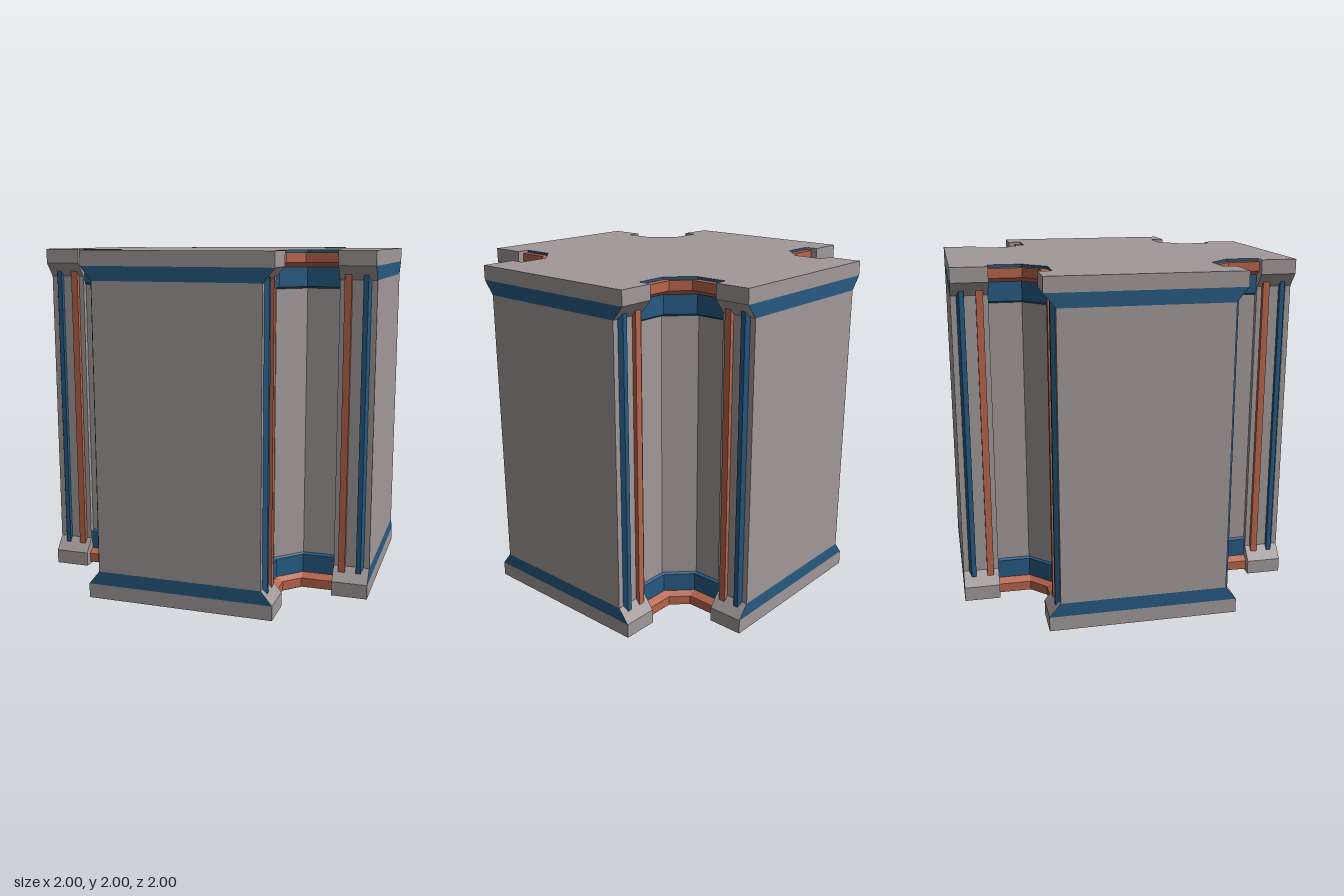
import * as THREE from 'three';

const mat = (name, color) => {
  const m = new THREE.MeshStandardMaterial({ color, side: THREE.DoubleSide, flatShading: true });
  m.name = name;
  return m;
};

// Mesh from flat quads; each entry is [outward hint, a, b, c, d]
function faces(name, material, quads) {
  const pos = [];
  for (const [hint, ...p] of quads) {
    let v = p.map(q => new THREE.Vector3(...q));
    const n = v[1].clone().sub(v[0]).cross(v[2].clone().sub(v[0]));
    if (n.dot(new THREE.Vector3(...hint)) < 0) v = v.reverse();
    for (const i of [0, 1, 2, 0, 2, 3]) pos.push(...v[i].toArray());
  }
  const g = new THREE.BufferGeometry();
  g.setAttribute('position', new THREE.Float32BufferAttribute(pos, 3));
  g.computeVertexNormals();
  const mesh = new THREE.Mesh(g, material);
  mesh.name = name;
  return mesh;
}

const IN = 0.79, WIDE = 0.55, BODY = 0.485, WALL = 0.455, RIM = 0.47, PROUD = 0.51;
const SLAB = 0.085, NECK = 0.165;
const slopeY = x => NECK - (x - BODY) * (NECK - SLAB) / (WIDE - BODY);

// Horizontal line round an inner corner at a given offset from the axes
const notch = r => [[IN, r], [0.6, r], [r, 0.6], [r, IN]];

// Vertical profile of [offset, y] points swept round the notch
function sweep(name, material, profile) {
  const quads = [];
  for (let i = 0; i < profile.length - 1; i++) {
    const [[r0, y0], [r1, y1]] = [profile[i], profile[i + 1]];
    const p = notch(r0), q = notch(r1);
    for (let k = 0; k < 3; k++) {
      const flat = y0 === y1;
      quads.push([flat ? [0, y0 > 1 ? 1 : -1, 0] : [1, 0, 1],
        [p[k][0], y0, p[k][1]], [p[k + 1][0], y0, p[k + 1][1]],
        [q[k + 1][0], y1, q[k + 1][1]], [q[k][0], y1, q[k][1]]]);
    }
  }
  return faces(name, material, quads);
}

// Upright strip standing proud of an arm side, ends cut to the flare
function strip(name, material, s, section) {
  const at = ([x, z], top) => [s * x, top ? 2 - slopeY(x) : slopeY(x), z];
  const quads = [];
  const mid = (section[0][1] + section[3][1]) / 2;
  for (let i = 0; i < 3; i++) {
    const a = section[i], b = section[i + 1];
    const hint = i === 1 ? [s, 0, 0] : [0, 0, Math.sign((a[1] + b[1]) / 2 - mid)];
    quads.push([hint, at(a, 0), at(b, 0), at(b, 1), at(a, 1)]);
  }
  return faces(name, material, quads);
}

function arm(grey, blue, orange) {
  const g = new THREE.Group();
  g.name = 'arm';
  const F = [0, 0, 1];
  const band = (x0, y0, x1, y1) =>
    [F, [-x0, y0, 1], [x0, y0, 1], [x1, y1, 1], [-x1, y1, 1]];
  // outer face
  g.add(faces('outerPanel', grey, [
    band(WIDE, 0, WIDE, SLAB), band(BODY, NECK, BODY, 2 - NECK), band(WIDE, 2 - SLAB, WIDE, 2)]));
  g.add(faces('outerPanelBands', blue, [
    band(WIDE, SLAB, BODY, NECK), band(BODY, 2 - NECK, WIDE, 2 - SLAB)]));

  for (const s of [1, -1]) {
    // sides, left open behind the strips
    const side = (x0, y0, x1, y1, z0 = IN, z1 = 1) =>
      [[s, 0, 0], [s * x0, y0, z0], [s * x0, y0, z1], [s * x1, y1, z1], [s * x1, y1, z0]];
    const end = (x0, y0, x1, y1) =>
      [[0, 0, -1], [s * WALL, y0, IN], [s * x0, y0, IN], [s * x1, y1, IN], [s * WALL, y1, IN]];
    const outline = [[WIDE, 0], [WIDE, SLAB], [BODY, NECK],
      [BODY, 2 - NECK], [WIDE, 2 - SLAB], [WIDE, 2]];
    const quads = [];
    for (let i = 0; i < 5; i++) {
      const [a, b] = [outline[i], outline[i + 1]];
      quads.push(end(...a, ...b));
      if (i === 2) {
        for (const [z0, z1] of [[IN, 0.82], [0.86, 0.925], [0.967, 1]]) quads.push(side(...a, ...b, z0, z1));
      } else quads.push(side(...a, ...b));
    }
    g.add(faces('armSide', grey, quads));
    g.add(strip('innerStrip', orange, s,
      [[BODY, 0.82], [PROUD, 0.82], [PROUD, 0.86], [BODY, 0.86]]));
    g.add(strip('outerStrip', blue, s,
      [[BODY, 0.925], [PROUD, 0.925], [PROUD, 0.953], [BODY, 0.967]]));
  }
  return g;
}

function corner(grey, blue, orange) {
  const g = new THREE.Group();
  g.name = 'corner';
  g.add(sweep('cornerWall', grey, [[WALL, 0.215], [WALL, 1.785]]));
  for (const top of [true, false]) {
    const ys = pts => pts.map(([r, y]) => [r, top ? y : 2 - y]);
    g.add(sweep('cornerBand', blue, ys([[WALL, 1.785], [RIM, 1.795], [RIM, 1.905]])));
    g.add(sweep('cornerRail', orange,
      ys([[RIM, 1.905], [PROUD, 1.93], [PROUD, 1.985], [RIM, 1.985]])));
    g.add(sweep('cornerEdge', blue, ys([[RIM, 1.985], [RIM, 2]])));
  }
  return g;
}

export function createModel() {
  const grey = mat('warm grey', 0xa29999);
  const blue = mat('deep blue', 0x265a82);
  const orange = mat('rust orange', 0xb8654c);
  const model = new THREE.Group();
  model.name = 'crossColumn';

  // four arms and four recessed corners
  for (let k = 0; k < 4; k++) {
    for (const part of [arm(grey, blue, orange), corner(grey, blue, orange)]) {
      part.rotation.y = k * Math.PI / 2;
      model.add(part);
    }
  }

  // cross-shaped top; the underside stays open
  const quarter = [[WIDE, 1], [WIDE, IN], [RIM, IN], [RIM, 0.6],
    [0.6, RIM], [IN, RIM], [IN, WIDE], [1, WIDE]];
  const pts = [];
  for (let k = 0; k < 4; k++) {
    const c = [1, 0, -1, 0][k], s = [0, 1, 0, -1][k];
    for (const [x, y] of quarter) pts.push(new THREE.Vector2(c * x + s * y, c * y - s * x));
  }
  const top = new THREE.Mesh(new THREE.ShapeGeometry(new THREE.Shape(pts)), grey);
  top.name = 'topPlate';
  top.rotation.x = -Math.PI / 2;
  top.position.y = 2;
  model.add(top);
  return model;
}
